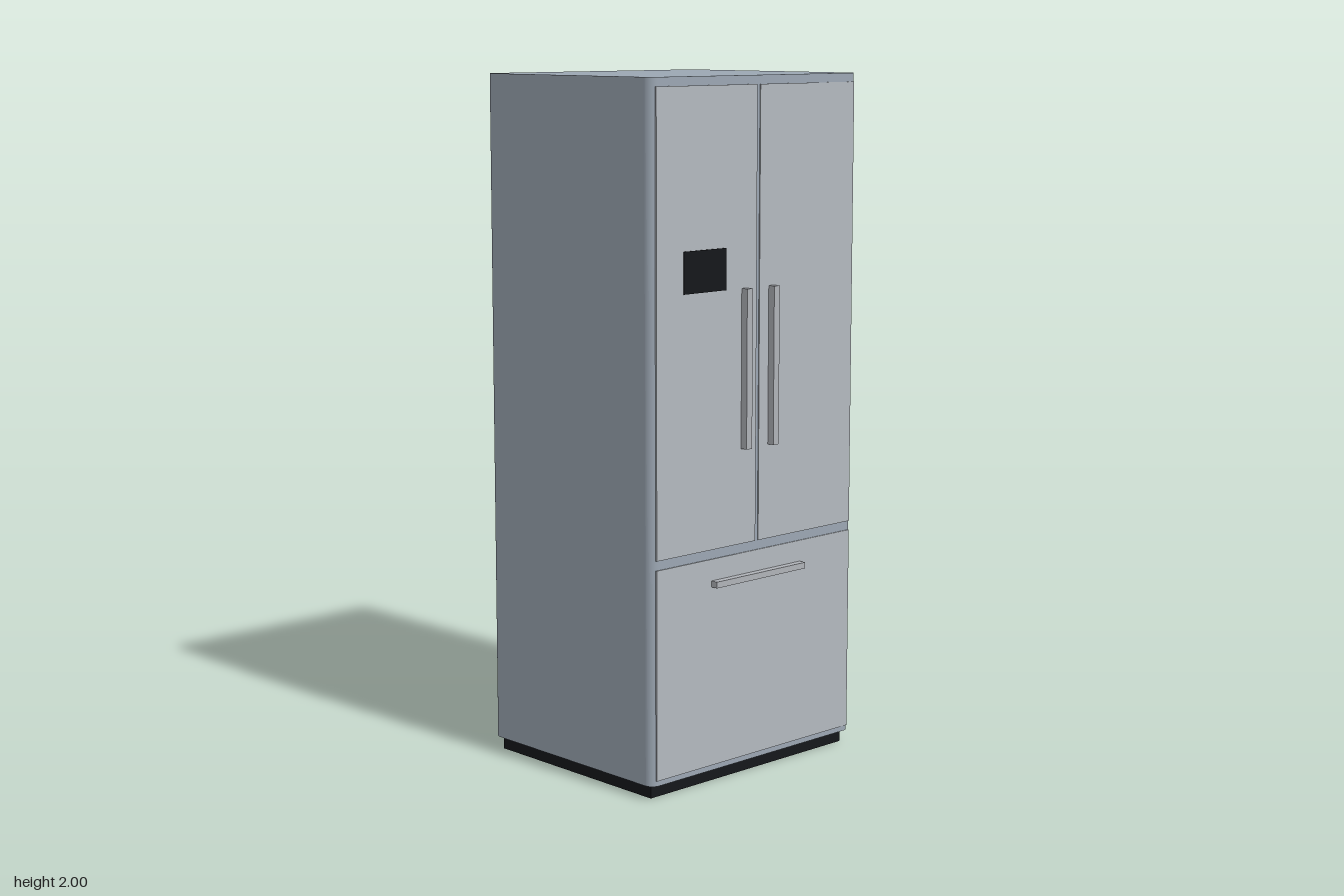
import * as THREE from 'three';

const material = (color) => new THREE.MeshStandardMaterial({ color });

export function createModel() {
  const group = new THREE.Group();
  const bodyMat = material(0x9ca7b3);
  const doorMat = material(0xb4b9bf);
  const handleMat = material(0xb0b3b8);
  const blackMat = material(0x15171b);

  // Box given by its min and max corners
  function box(name, mat, [x0, y0, z0], [x1, y1, z1]) {
    const mesh = new THREE.Mesh(new THREE.BoxGeometry(x1 - x0, y1 - y0, z1 - z0), mat);
    mesh.position.set((x0 + x1) / 2, (y0 + y1) / 2, (z0 + z1) / 2);
    mesh.name = name;
    group.add(mesh);
  }

  // Cabinet: rounded rectangle footprint extruded upward
  const w = 0.408, back = 0.358, front = 0.332, r = 0.028;
  const outline = new THREE.Shape();
  outline.absarc(w - r, back - r, r, 0, Math.PI / 2);
  outline.absarc(-w + r, back - r, r, Math.PI / 2, Math.PI);
  outline.absarc(-w + r, -front + r, r, Math.PI, Math.PI * 1.5);
  outline.absarc(w - r, -front + r, r, Math.PI * 1.5, Math.PI * 2);
  outline.closePath();
  const cabinetGeo = new THREE.ExtrudeGeometry(outline, { depth: 1.96, bevelEnabled: false, curveSegments: 8 });
  cabinetGeo.rotateX(-Math.PI / 2);
  const cabinet = new THREE.Mesh(cabinetGeo, bodyMat);
  cabinet.position.y = 0.04;
  cabinet.name = 'cabinet';
  group.add(cabinet);

  // Recessed plinth
  box('plinth', blackMat, [-0.39, 0, -0.336], [0.39, 0.04, 0.308]);

  // Door panels and their upright handles, mirrored about the centre seam
  for (const [side, s] of [['left', 1], ['right', -1]]) {
    const span = (a, b) => (s > 0 ? [a, b] : [-b, -a]);
    const [d0, d1] = span(0.006, 0.391);
    box(side + 'Door', doorMat, [d0, 0.684, 0.31], [d1, 1.975, 0.335]);
    const [h0, h1] = span(0.043, 0.065);
    box(side + 'DoorHandle', handleMat, [h0, 0.958, 0.33], [h1, 1.412, 0.357]);
  }

  // Freezer drawer with a horizontal handle
  box('freezerDrawer', doorMat, [-0.391, 0.056, 0.31], [0.391, 0.657, 0.335]);
  box('drawerHandle', handleMat, [-0.18, 0.577, 0.33], [0.18, 0.595, 0.357]);

  // Dark control panel on the right door
  box('controlPanel', blackMat, [-0.291, 1.412, 0.33], [-0.128, 1.529, 0.338]);

  return group;
}
